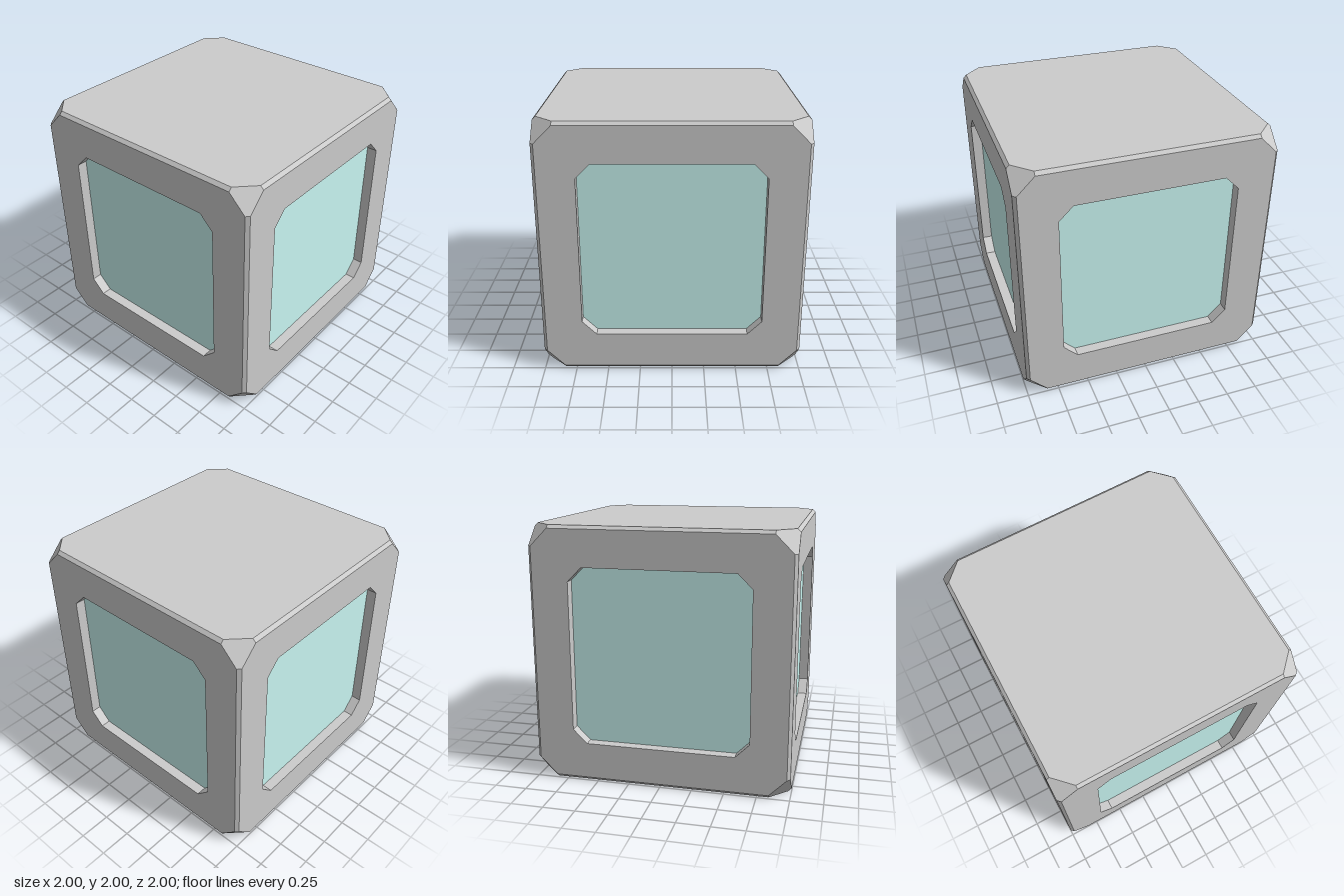
import * as THREE from 'three';

const FACE = 0.975;   // half size of each flat face
const CUT = 0.84;     // where the corner cut begins
const DEPTH = 0.08;   // how far the windows are sunk

const grey = new THREE.MeshStandardMaterial({ color: 0xcccccc, flatShading: true });
const glass = new THREE.MeshStandardMaterial({ color: 0xc9f6f2, flatShading: true });

// Square with cut corners, counter-clockwise: half size h, cut starting at c
function octagon(h, c) {
  return [[h, -c], [h, c], [c, h], [-c, h], [-h, c], [-h, -c], [-c, -h], [c, -h]]
    .map(([x, y]) => new THREE.Vector2(x, y));
}

// Convex polygons as triangle fans; outward = turn each one away from the origin
function polygons(list, outward) {
  const pos = [];
  for (const corners of list) {
    const p = corners.map(c => new THREE.Vector3(...c));
    const n = p[1].clone().sub(p[0]).cross(p[2].clone().sub(p[0]));
    if (outward && n.dot(p[0]) < 0) p.reverse();
    for (let i = 1; i < p.length - 1; i++) {
      for (const v of [p[0], p[i], p[i + 1]]) pos.push(v.x, v.y, v.z);
    }
  }
  const g = new THREE.BufferGeometry();
  g.setAttribute('position', new THREE.Float32BufferAttribute(pos, 3));
  g.computeVertexNormals();
  return g;
}

function add(parent, name, geometry, material) {
  const m = new THREE.Mesh(geometry, material);
  m.name = name;
  parent.add(m);
  return m;
}

export function createModel() {
  const model = new THREE.Group();
  model.name = 'windowedCube';
  const cube = new THREE.Group();
  cube.name = 'cube';
  cube.position.y = 1;
  model.add(cube);

  // Four sides, each a frame around a sunken window
  const opening = octagon(0.692, 0.583);
  const frame = new THREE.Shape(octagon(FACE, CUT));
  frame.holes.push(new THREE.Path(opening));
  const frameGeo = new THREE.ShapeGeometry(frame).translate(0, 0, 1);
  const paneGeo = new THREE.ShapeGeometry(new THREE.Shape(opening)).translate(0, 0, 1 - DEPTH);
  const recessGeo = polygons(opening.map((p, i) => {
    const q = opening[(i + 1) % opening.length];
    return [[p.x, p.y, 1], [q.x, q.y, 1], [q.x, q.y, 1 - DEPTH], [p.x, p.y, 1 - DEPTH]];
  }), false);
  ['front', 'left', 'back', 'right'].forEach((name, i) => {
    const side = new THREE.Group();
    side.name = name + 'Side';
    side.rotation.y = i * Math.PI / 2;
    add(side, 'frame', frameGeo, grey);
    add(side, 'windowRecess', recessGeo, grey);
    add(side, 'windowPane', paneGeo, glass);
    cube.add(side);
  });

  // Plain top and bottom
  const plateGeo = new THREE.ShapeGeometry(new THREE.Shape(octagon(FACE, CUT))).translate(0, 0, 1);
  add(cube, 'top', plateGeo, grey).rotation.x = -Math.PI / 2;
  add(cube, 'bottom', plateGeo, grey).rotation.x = Math.PI / 2;

  // Narrow bevels along the twelve edges
  const edges = [];
  for (let axis = 0; axis < 3; axis++) {
    for (const s of [-1, 1]) for (const t of [-1, 1]) {
      const point = (along, u, v) => {
        const p = [0, 0, 0];
        p[axis] = along;
        p[(axis + 1) % 3] = s * u;
        p[(axis + 2) % 3] = t * v;
        return p;
      };
      edges.push([point(-CUT, 1, FACE), point(CUT, 1, FACE), point(CUT, FACE, 1), point(-CUT, FACE, 1)]);
    }
  }
  add(cube, 'edgeBevels', polygons(edges, true), grey);

  // Six-sided facets across the eight corners
  const facet = [[1, FACE, CUT], [FACE, 1, CUT], [CUT, 1, FACE], [CUT, FACE, 1], [FACE, CUT, 1], [1, CUT, FACE]];
  const corners = [];
  for (const sx of [-1, 1]) for (const sy of [-1, 1]) for (const sz of [-1, 1]) {
    corners.push(facet.map(([x, y, z]) => [x * sx, y * sy, z * sz]));
  }
  add(cube, 'cornerFacets', polygons(corners, true), grey);

  return model;
}
